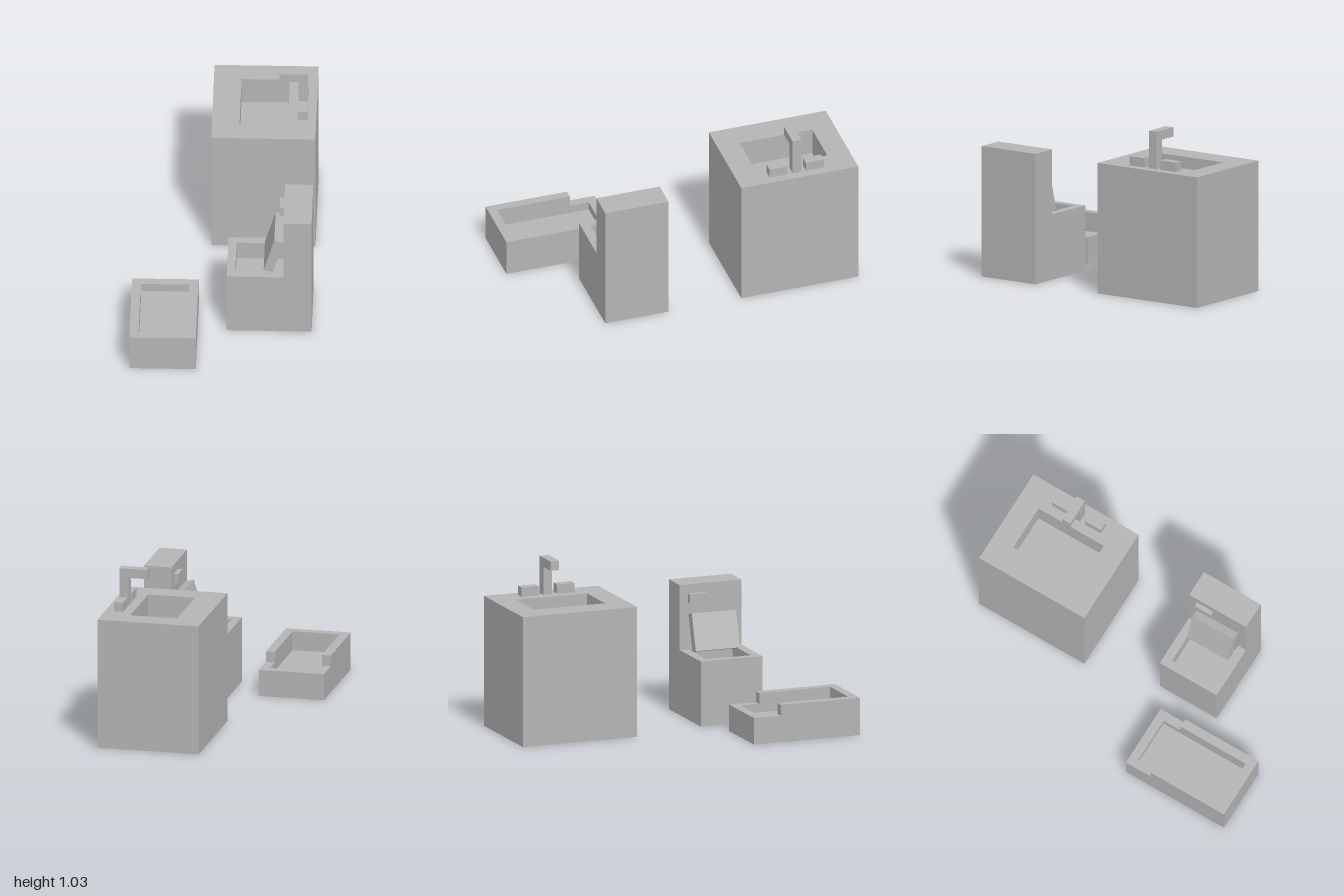
import * as THREE from 'three';

const grey = new THREE.MeshStandardMaterial({ color: 0xb4b4b4 });
grey.name = 'porcelain grey';

function add(group, name, geometry) {
  const mesh = new THREE.Mesh(geometry, grey);
  mesh.name = name;
  group.add(mesh);
  return mesh;
}

// Box given by its limits on each axis
function block(group, name, [x0, x1], [y0, y1], [z0, z1]) {
  const g = new THREE.BoxGeometry(x1 - x0, y1 - y0, z1 - z0);
  g.translate((x0 + x1) / 2, (y0 + y1) / 2, (z0 + z1) / 2);
  return add(group, name, g);
}

const rect = ([x0, x1], [z0, z1]) =>
  [[x0, z0], [x1, z0], [x1, z1], [x0, z1]].map(([x, z]) => new THREE.Vector2(x, z));

// Upright prism from a floor plan in x and z
function prism(group, name, shape, [y0, y1]) {
  const g = new THREE.ExtrudeGeometry(shape, { depth: y1 - y0, bevelEnabled: false });
  g.rotateX(Math.PI / 2).translate(0, y1, 0);
  return add(group, name, g);
}

// Solid base with a rectangular basin sunk into its top
function basin(group, name, x, z, holeX, holeZ, floorY, topY) {
  block(group, name + 'Base', x, [0, floorY], z);
  const shape = new THREE.Shape(rect(x, z));
  shape.holes.push(new THREE.Path(rect(holeX, holeZ).reverse()));
  prism(group, name + 'Walls', shape, [floorY, topY]);
}

function part(model, name) {
  const group = new THREE.Group();
  group.name = name;
  model.add(group);
  return group;
}

export function createModel() {
  const model = new THREE.Group();
  model.name = 'bathroomSet';

  // Sink cabinet with faucet and two taps
  const sink = part(model, 'sink');
  basin(sink, 'sink', [-0.086, 0.54], [-1, -0.26], [0.08, 0.37], [-0.86, -0.4], 0.63, 0.8);
  block(sink, 'faucetColumn', [0.428, 0.485], [0.8, 0.973], [-0.66, -0.603]);
  block(sink, 'faucetSpout', [0.314, 0.485], [0.973, 1.03], [-0.66, -0.603]);
  for (const z of [-0.8, -0.57]) block(sink, 'tap', [0.428, 0.485], [0.8, 0.857], [z, z + 0.113]);

  // Toilet with tank, flush handle and leaning lid
  const toilet = part(model, 'toilet');
  basin(toilet, 'bowl', [0.03, 0.54], [0.2, 0.6], [0.08, 0.37], [0.255, 0.543], 0.285, 0.4);
  block(toilet, 'tank', [0.37, 0.54], [0.4, 0.8], [0.2, 0.6]);
  block(toilet, 'flushHandle', [0.342, 0.37], [0.687, 0.744], [0.255, 0.368]);
  const lid = add(toilet, 'lid', new THREE.BoxGeometry(0.057, 0.229, 0.286));
  lid.position.set(0.31, 0.514, 0.4);
  lid.rotation.z = -0.285;

  // Bathtub with a lowered rim at the back
  const tub = part(model, 'bathtub');
  basin(tub, 'tub', [-0.545, -0.145], [0.312, 1], [-0.49, -0.2], [0.367, 0.945], 0.112, 0.163);
  const rim = [
    [-0.545, 0.486], [-0.49, 0.486], [-0.49, 0.945], [-0.2, 0.945],
    [-0.2, 0.486], [-0.145, 0.486], [-0.145, 1], [-0.545, 1],
  ].map(([x, z]) => new THREE.Vector2(x, z));
  prism(tub, 'raisedRim', new THREE.Shape(rim), [0.163, 0.23]);

  return model;
}
